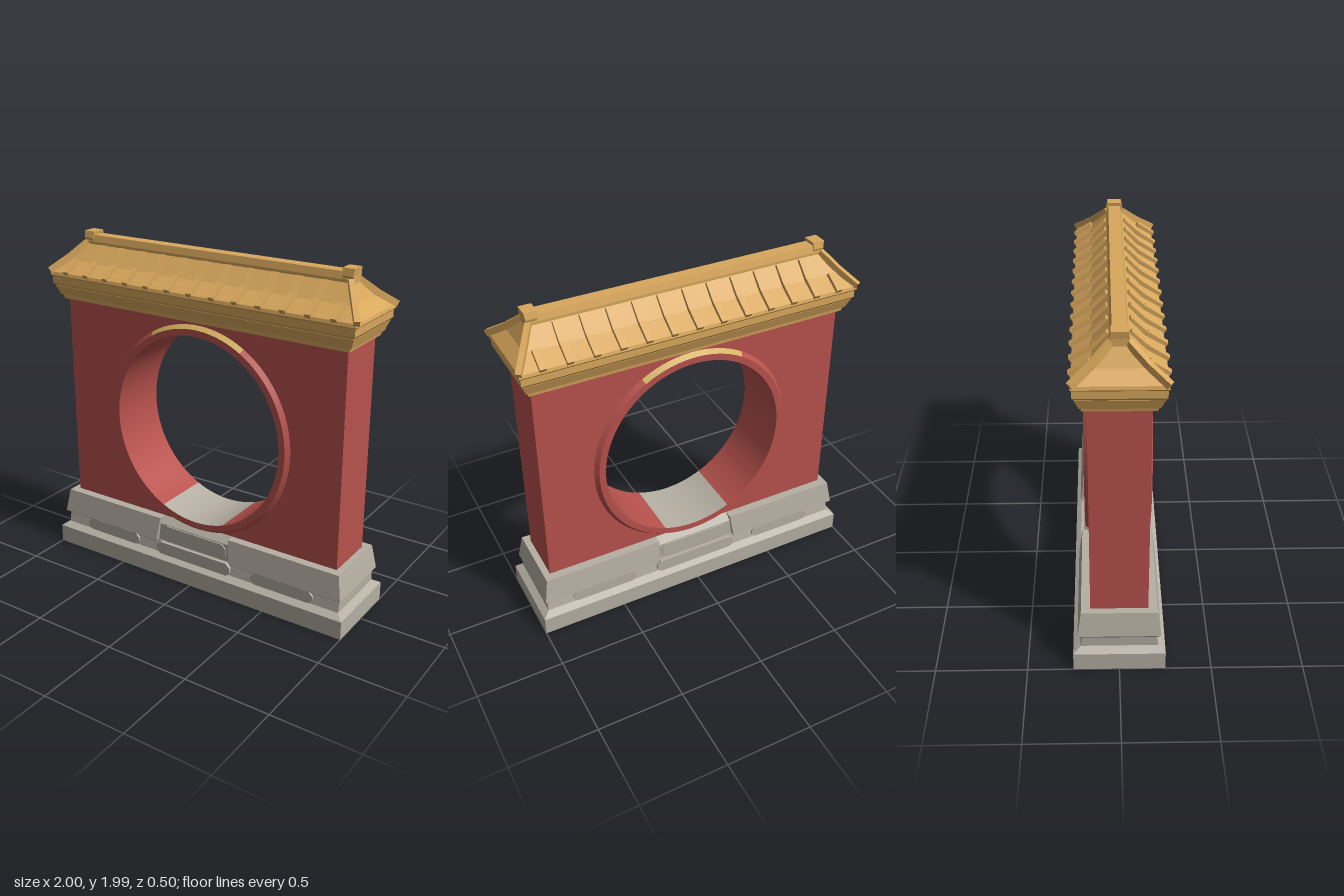
import * as THREE from 'three';

const mat = (name, color) => {
  const m = new THREE.MeshStandardMaterial({ color });
  m.name = name;
  return m;
};

export function createModel() {
  const red = mat('red plaster', 0xb8524d);
  const gold = mat('gold tile', 0xd8a75c);
  const yellow = mat('yellow trim', 0xd2b060);
  const stone = mat('grey stone', 0xb5afa3);
  const model = new THREE.Group();
  model.name = 'moonGate';

  const add = (name, geo, material) => {
    const mesh = new THREE.Mesh(geo, material);
    mesh.name = name;
    model.add(mesh);
    return mesh;
  };

  // Flat-faced solid through stacked rectangles [x0, x1, halfZ, y]
  const loft = (name, rows, material) => {
    const pos = [];
    const quad = (a, b, c, d) => pos.push(...a, ...b, ...c, ...a, ...c, ...d);
    const rect = ([x0, x1, z, y]) => [[x0, y, z], [x1, y, z], [x1, y, -z], [x0, y, -z]];
    const rings = rows.map(rect);
    for (let i = 0; i < rings.length - 1; i++)
      for (let k = 0; k < 4; k++) {
        const n = (k + 1) % 4;
        quad(rings[i][k], rings[i][n], rings[i + 1][n], rings[i + 1][k]);
      }
    const b = rings[0], t = rings[rings.length - 1];
    quad(b[3], b[2], b[1], b[0]);
    quad(t[0], t[1], t[2], t[3]);
    const geo = new THREE.BufferGeometry();
    geo.setAttribute('position', new THREE.Float32BufferAttribute(pos, 3));
    geo.computeVertexNormals();
    return add(name, geo, material);
  };
  // Symmetric version: rows of [halfX, halfZ, y]
  const stack = (name, rows, material) =>
    loft(name, rows.map(([x, z, y]) => [-x, x, z, y]), material);

  // Square bar between two points
  const bar = (name, a, b, w, h, material) => {
    const p = new THREE.Vector3(...a), q = new THREE.Vector3(...b);
    const mesh = add(name, new THREE.BoxGeometry(w, h, p.distanceTo(q)), material);
    mesh.position.copy(p).lerp(q, 0.5);
    mesh.lookAt(q);
    return mesh;
  };

  // Stone plinth: foot, neck, projecting side blocks and a set-back middle
  stack('plinth', [[1, 0.25, 0], [1, 0.25, 0.11], [0.96, 0.21, 0.135], [0.96, 0.198, 0.21]], stone);
  stack('plinthMiddle', [[0.27, 0.194, 0.2], [0.27, 0.194, 0.32], [0.27, 0.156, 0.36]], stone);
  loft('plinthBlockLeft', [[0.28, 0.96, 0.2, 0.195], [0.26, 0.975, 0.225, 0.215], [0.24, 0.95, 0.205, 0.36]], stone);
  loft('plinthBlockRight', [[-0.96, -0.28, 0.2, 0.195], [-0.975, -0.26, 0.225, 0.215], [-0.95, -0.24, 0.205, 0.36]], stone);

  // Chamfered panels on both faces of the plinth
  const panel = (name, x, y, hw, hh, z) => {
    const c = 0.025;
    const s = new THREE.Shape([
      [-hw, -hh + c], [-hw + c, -hh], [hw - c, -hh], [hw, -hh + c],
      [hw, hh - c], [hw - c, hh], [-hw + c, hh], [-hw, hh - c],
    ].map(([px, py]) => new THREE.Vector2(px, py)));
    const geo = new THREE.ExtrudeGeometry(s, { depth: 0.02, bevelEnabled: false });
    for (const side of [0, 1]) {
      const m = add(name, geo, stone);
      m.position.set(x, y, side ? -z : z);
      m.rotation.y = side ? Math.PI : 0;
    }
  };
  panel('sidePanel', -0.6, 0.17, 0.2, 0.036, 0.194);
  panel('sidePanel', 0.6, 0.17, 0.2, 0.036, 0.194);
  panel('lowerMiddlePanel', 0, 0.168, 0.26, 0.04, 0.198);
  panel('upperMiddlePanel', 0, 0.265, 0.22, 0.05, 0.182);

  // Wall with the moon opening
  const CY = 0.96, RX = 0.545, RY = 0.567;
  const wall = new THREE.Shape([
    new THREE.Vector2(-0.912, 0.35), new THREE.Vector2(0.912, 0.35),
    new THREE.Vector2(0.912, 1.62), new THREE.Vector2(-0.912, 1.62),
  ]);
  const hole = new THREE.Path();
  hole.absellipse(0, CY, RX + 0.02, RY + 0.02, 0, Math.PI * 2, true);
  wall.holes.push(hole);
  const wallGeo = new THREE.ExtrudeGeometry(wall, { depth: 0.31, bevelEnabled: false, curveSegments: 64 });
  wallGeo.translate(0, 0, -0.155);
  add('wall', wallGeo, red);

  // Strip of the opening's frame between two profile points [outset, z]
  const band = (name, p0, p1, deg0, deg1, material) => {
    const n = Math.ceil((deg1 - deg0) / 4), pos = [], idx = [];
    for (let i = 0; i <= n; i++) {
      const a = THREE.MathUtils.degToRad(deg0 + ((deg1 - deg0) * i) / n);
      for (const [r, z] of [p0, p1])
        pos.push((RX + r) * Math.cos(a), CY + (RY + r) * Math.sin(a), z);
      if (i < n) idx.push(2 * i, 2 * i + 1, 2 * i + 3, 2 * i, 2 * i + 3, 2 * i + 2);
    }
    const geo = new THREE.BufferGeometry();
    geo.setAttribute('position', new THREE.Float32BufferAttribute(pos, 3));
    geo.setIndex(idx);
    geo.computeVertexNormals();
    add(name, geo, material);
  };
  const Z = 0.182;
  // Tunnel lining: yellow crown, stone sill, red elsewhere
  const lining = [[-70, 78, red], [78, 102, yellow], [102, 245, red], [245, 290, stone]];
  for (const [a, b, m] of lining) band('tunnelLining', [0, -Z], [0, Z], a, b, m);
  // Frame faces and bevelled rims, with a yellow arc on top
  band('frontFrame', [0, Z], [0.038, Z], 0, 360, red);
  band('backFrame', [0.038, -Z], [0, -Z], 0, 360, red);
  for (const [a, b, m] of [[-240, 60, red], [60, 120, yellow]]) {
    band('frontFrameRim', [0.038, Z], [0.062, 0.15], a, b, m);
    band('backFrameRim', [0.062, -0.15], [0.038, -Z], a, b, m);
  }

  // Stepped cornice
  stack('corniceLower', [[0.93, 0.18, 1.605], [0.935, 0.183, 1.63]], gold);
  stack('corniceMiddle', [[0.945, 0.19, 1.628], [0.965, 0.213, 1.685]], gold);
  stack('corniceUpper', [[0.96, 0.208, 1.683], [0.975, 0.222, 1.7], [0.975, 0.222, 1.74]], gold);

  // Hipped roof, slightly concave
  stack('roof', [
    [0.97, 0.218, 1.735], [0.985, 0.23, 1.75], [0.98, 0.225, 1.768],
    [0.915, 0.13, 1.825], [0.86, 0.045, 1.915],
  ], gold);

  // Main ridge with raised ends
  stack('ridge', [[0.86, 0.045, 1.89], [0.86, 0.045, 1.93], [0.84, 0.035, 1.968]], gold);
  for (const s of [-1, 1]) {
    const end = stack('ridgeEnd', [[0.03, 0.035, 1.91], [0.03, 0.048, 1.95], [0.035, 0.04, 1.988]], gold);
    end.position.x = s * 0.835;
  }

  // Hip ridges in two lengths, with upturned corner tips
  for (const sx of [-1, 1])
    for (const sz of [-1, 1]) {
      const top = [sx * 0.85, 1.925, sz * 0.04];
      const mid = [sx * 0.92, 1.84, sz * 0.135];
      const tip = [sx * 0.985, 1.772, sz * 0.23];
      bar('hipRidge', top, mid, 0.03, 0.035, gold);
      bar('hipRidge', mid, tip, 0.03, 0.035, gold);
    }

  // Tile ribs down both slopes; the outermost start at the hip
  for (let i = -6; i <= 6; i++)
    for (const s of [-1, 1]) {
      const x = i * 0.1435;
      const mid = [x, 1.828, s * 0.135];
      if (Math.abs(i) < 6) bar('tileRib', [x, 1.91, s * 0.05], mid, 0.036, 0.032, gold);
      bar('tileRib', mid, [x, 1.765, s * 0.232], 0.036, 0.036, gold);
    }

  return model;
}
